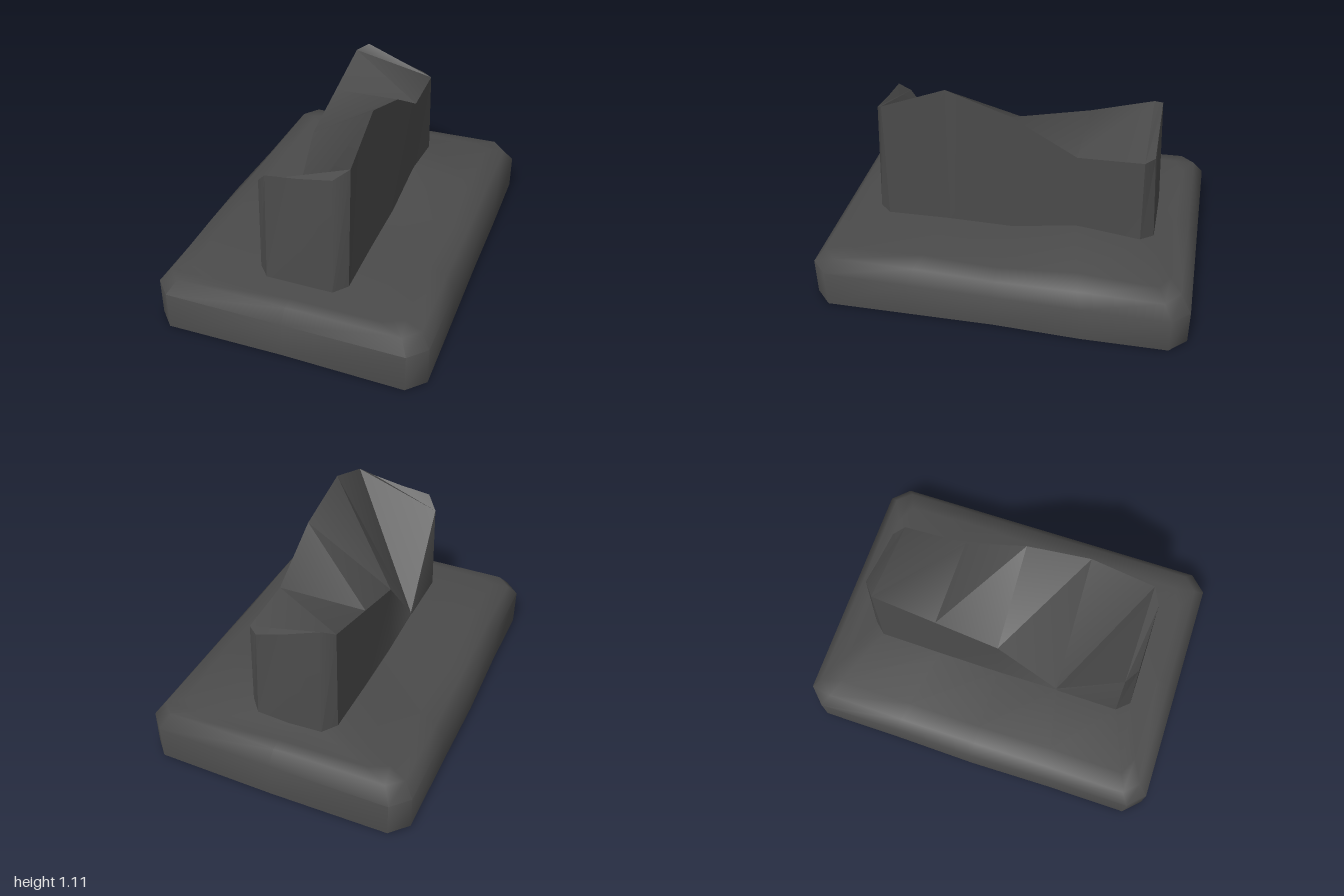
import * as THREE from 'three';
import { toCreasedNormals } from 'three/addons/utils/BufferGeometryUtils.js';

const darkGrey = new THREE.MeshStandardMaterial({ color: 0x4b4b4b, side: THREE.DoubleSide });
darkGrey.name = 'darkGrey';

// Every ring has 16 points: 5 along +x (front to back), 3 along the back,
// 5 along -x (back to front), 3 along the front.
function outline(sideX, sideZ, endX, endZ) {
  const s = [sideZ, sideZ / 2, 0, -sideZ / 2, -sideZ];
  return [
    ...s.map((z) => [sideX, z]),
    [endX, -endZ], [0, -endZ], [-endX, -endZ],
    ...s.map((z) => [-sideX, -z]),
    [-endX, endZ], [0, endZ], [endX, endZ],
  ];
}
const ring = (points, heights) =>
  points.map(([x, z], i) => [x, Array.isArray(heights) ? heights[i] : heights, z]);

// Loft the rings bottom to top, then bridge the last ring side to side as a cap.
function loft(rings, crease) {
  const n = 16, index = [];
  for (let r = 0; r < rings.length - 1; r++) {
    for (let i = 0; i < n; i++) {
      const a = r * n + i, b = r * n + (i + 1) % n;
      index.push(a, b, b + n, a, b + n, a + n);
    }
  }
  const top = (rings.length - 1) * n;
  const tri = (a, b, c) => index.push(top + a, top + b, top + c);
  for (let i = 0; i < 4; i++) {
    tri(i, i + 1, 11 - i);
    tri(i, 11 - i, 12 - i);
  }
  for (const [a, b, c, d, e] of [[12, 13, 14, 15, 0], [4, 5, 6, 7, 8]]) {
    tri(a, b, c);
    tri(a, c, d);
    tri(a, d, e);
  }
  const g = new THREE.BufferGeometry();
  g.setAttribute('position', new THREE.Float32BufferAttribute(rings.flat(2), 3));
  g.setIndex(index);
  return toCreasedNormals(g, crease);
}

function createBase() {
  const bottom = [0, 0.01, 0.02, 0.01, 0.02, 0.02, 0.01, 0.02, 0.02, 0.01, 0.02, 0.01, 0, 0, 0.01, 0];
  const shoulder = [0.275, 0.28, 0.27, 0.28, 0.28, 0.29, 0.28, 0.29, 0.28, 0.27, 0.27, 0.29, 0.275, 0.275, 0.275, 0.275];
  const middle = [0.285, 0.30, 0.285, 0.32, 0.30, 0.29, 0.285, 0.30, 0.30, 0.29, 0.285, 0.315, 0.29, 0.28, 0.28, 0.28];
  const inner = [0.29, 0.30, 0.30, 0.36, 0.32, 0.31, 0.30, 0.31, 0.32, 0.30, 0.29, 0.295, 0.29, 0.285, 0.285, 0.285];
  const wall = outline(0.728, 0.91, 0.64, 1);
  wall[10][0] = -0.738;
  return loft([
    ring(wall, bottom),
    ring(wall, 0.21),
    ring(outline(0.675, 0.87, 0.6, 0.945), shoulder),
    ring(outline(0.58, 0.83, 0.48, 0.88), middle),
    ring(outline(0.24, 0.7, 0.17, 0.765), inner),
  ], 1.0);
}

function createTower() {
  // Jagged rim: a tall peak on the +x side and a deep notch on the -x side
  const rim = [0.98, 1.11, 1.0, 0.8, 0.8, 0.8, 0.86, 0.93, 0.9, 0.8, 0.7, 0.3, 0.81, 0.88, 0.9, 0.93];
  const foot = outline(0.242, 0.7, 0.18, 0.768);
  const top = outline(0.235, 0.69, 0.175, 0.738);
  top[0][0] = top[2][0] = top[3][0] = 0.248;
  return loft([ring(foot, 0.17), ring(foot, 0.29), ring(top, rim)], 0.7);
}

export function createModel() {
  const group = new THREE.Group();
  group.name = 'model';
  const parts = { base: createBase(), tower: createTower() };
  for (const [name, geometry] of Object.entries(parts)) {
    const mesh = new THREE.Mesh(geometry, darkGrey);
    mesh.name = name;
    group.add(mesh);
  }
  return group;
}
